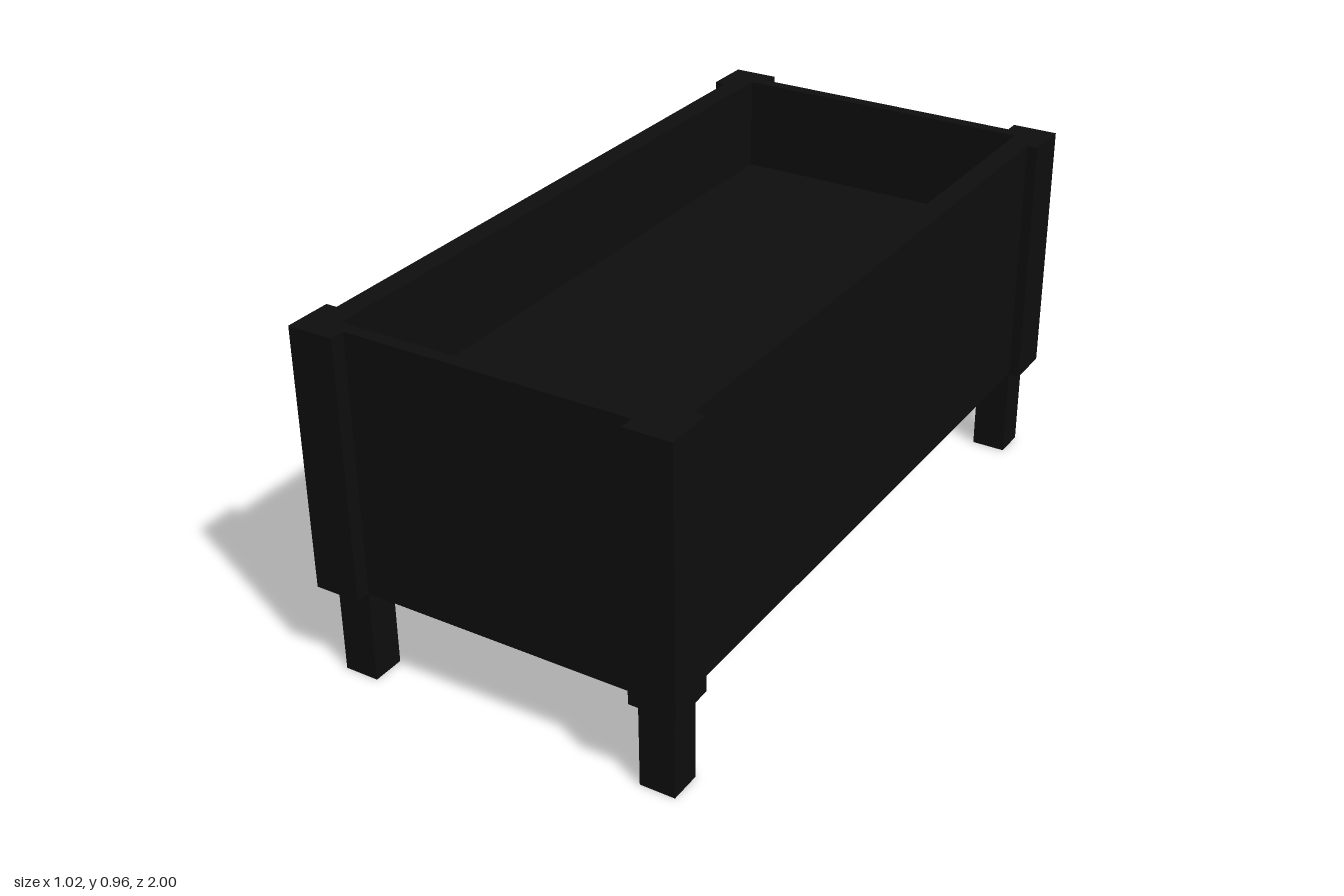
import * as THREE from 'three';

const material = new THREE.MeshStandardMaterial({ color: 0x0d0d0d });

// Box given by its lower and upper corner
function box(name, [x0, y0, z0], [x1, y1, z1]) {
  const mesh = new THREE.Mesh(new THREE.BoxGeometry(x1 - x0, y1 - y0, z1 - z0), material);
  mesh.position.set((x0 + x1) / 2, (y0 + y1) / 2, (z0 + z1) / 2);
  mesh.name = name;
  return mesh;
}

export function createModel() {
  const model = new THREE.Group();
  model.name = 'raisedPlanter';

  const bottom = 0.255, top = 0.96, fill = 0.7;
  const outX = 0.48, outZ = 0.96;   // outer wall faces
  const inX = 0.42, inZ = 0.925;    // inner wall faces
  const trimX = 0.51, trimZ = 1;    // outer faces of the corner trim
  const postX = 0.385, postZ = 0.87; // inner edges of legs and trim

  // Raised bed inside the walls
  model.add(box('bed', [-inX, bottom, -inZ], [inX, fill, inZ]));

  // Long side walls and short end walls
  for (const s of [-1, 1]) {
    const side = box('sideWall', [inX, bottom, -outZ], [outX, top, outZ]);
    side.position.x *= s;
    const end = box('endWall', [-inX, bottom, inZ], [inX, top, outZ]);
    end.position.z *= s;
    model.add(side, end);
  }

  // Each corner: a leg below and an L of two trim boards around the walls
  for (const sx of [-1, 1]) {
    for (const sz of [-1, 1]) {
      const corner = new THREE.Group();
      corner.name = 'corner';
      corner.add(
        box('leg', [postX, 0, postZ], [outX, bottom, outZ]),
        box('endTrim', [postX, bottom, outZ], [trimX, top, trimZ]),
        box('sideTrim', [outX, bottom, postZ], [trimX, top, outZ])
      );
      for (const part of corner.children) {
        part.position.x *= sx;
        part.position.z *= sz;
      }
      model.add(corner);
    }
  }
  return model;
}
